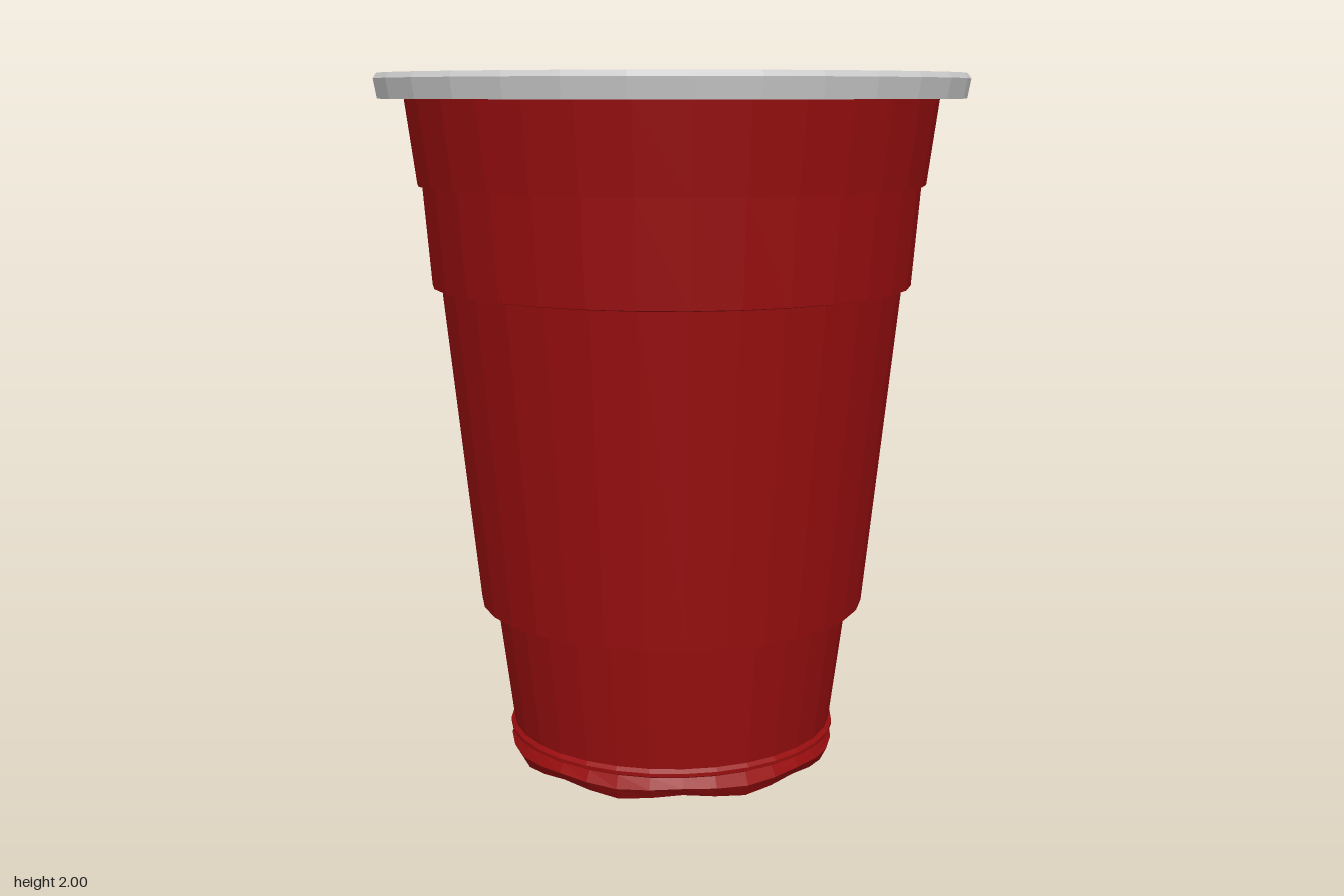
import * as THREE from 'three';

const SIDES = 32;

export function createModel() {
  const group = new THREE.Group();
  const red = new THREE.MeshStandardMaterial({ color: 0x990e0f, flatShading: true, side: THREE.DoubleSide });
  red.name = 'red plastic';
  const grey = new THREE.MeshStandardMaterial({ color: 0xcccccc, flatShading: true, side: THREE.DoubleSide });
  grey.name = 'pale grey rim';

  // Revolve a [radius, height] profile around the y axis
  const revolve = (name, profile, material) => {
    const points = profile.map(([r, y]) => new THREE.Vector2(r, y));
    const mesh = new THREE.Mesh(new THREE.LatheGeometry(points, SIDES), material);
    mesh.name = name;
    group.add(mesh);
    return mesh;
  };

  // Tapered wall with three stacking steps and a small lip under the rim
  revolve('cupWall', [
    [0.465, 0.07], [0.485, 0.08], [0.485, 0.09], [0.475, 0.1],
    [0.522, 0.465], [0.565, 0.47],
    [0.663, 1.4], [0.689, 1.405],
    [0.712, 1.69], [0.725, 1.69],
    [0.757, 1.93], [0.785, 1.94],
  ], red);

  // Flat floor, slightly recessed above the foot
  revolve('floor', [[0, 0.06], [0.455, 0.06], [0.465, 0.07]], red);

  // Flared foot with a scalloped lower edge
  const foot = revolve('foot', [[0.465, 0], [0.483, 0.035], [0.465, 0.07]], red);
  const pos = foot.geometry.attributes.position;
  for (let i = 0; i < pos.count; i++) {
    const wave = 0.01 + 0.01 * Math.cos(8 * Math.atan2(pos.getX(i), pos.getZ(i)));
    pos.setY(i, pos.getY(i) + wave * (1 - pos.getY(i) / 0.07));
  }

  // Rolled rim as a closed ring
  revolve('rim', [
    [0.785, 1.93], [0.832, 1.93], [0.842, 1.985], [0.832, 2],
    [0.8, 2], [0.782, 1.945], [0.785, 1.93],
  ], grey);

  return group;
}
